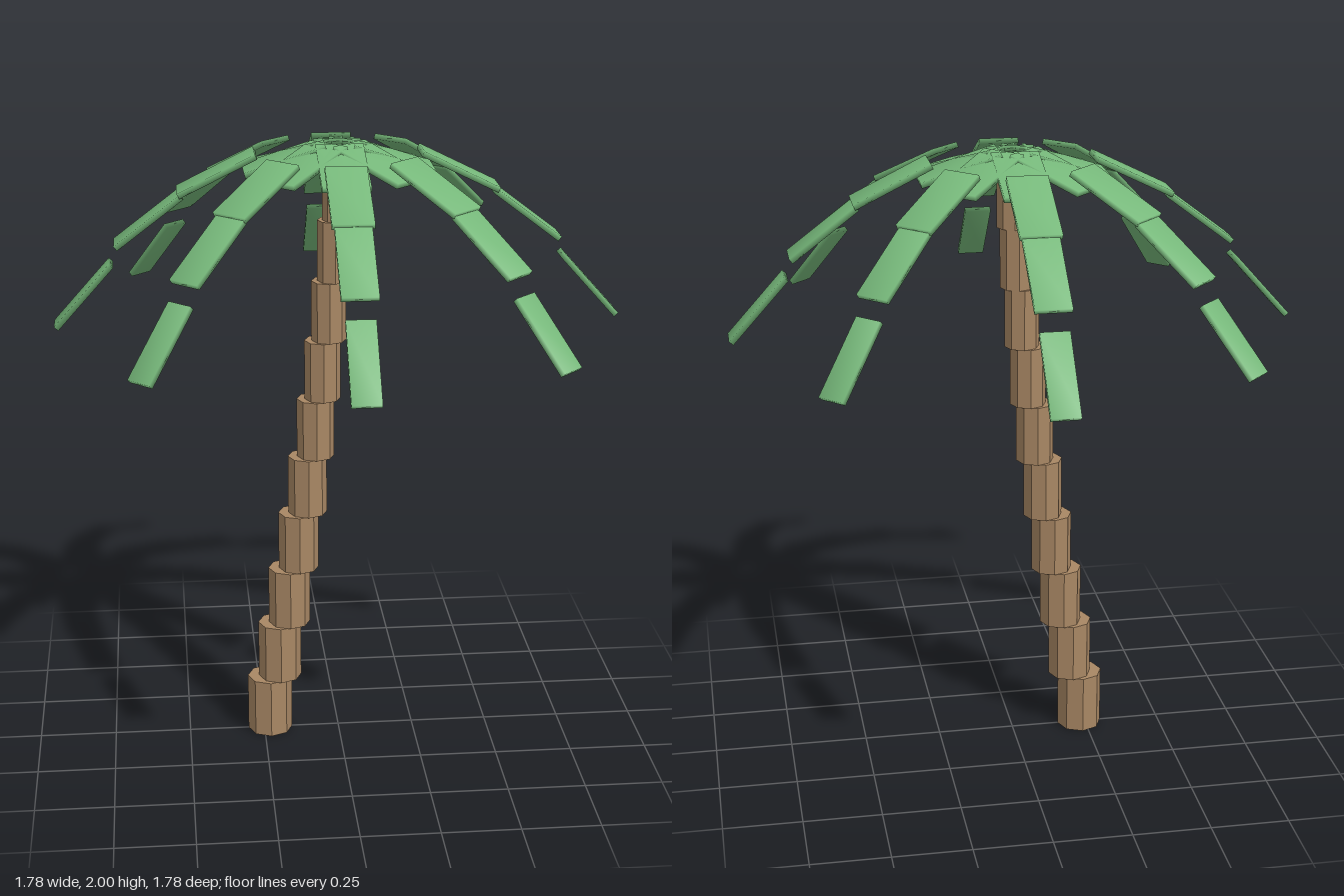
import * as THREE from 'three';
import { mergeVertices } from 'three/addons/utils/BufferGeometryUtils.js';

// Box with shared corners, giving soft shading over its edges
function softBox(w, h, d) {
  let g = new THREE.BoxGeometry(w, h, d);
  g.deleteAttribute('normal');
  g.deleteAttribute('uv');
  g = mergeVertices(g);
  g.computeVertexNormals();
  return g;
}

export function createModel() {
  const bark = new THREE.MeshStandardMaterial({ color: 0xa88764 });
  bark.name = 'bark brown';
  bark.flatShading = true;
  const leaf = new THREE.MeshStandardMaterial({ color: 0x76b87a });
  leaf.name = 'leaf green';

  const model = new THREE.Group();
  model.name = 'palmTree';

  // Leaning trunk of stacked eight-sided drums
  const trunk = new THREE.Group();
  trunk.name = 'trunk';
  const step = 0.1945;
  const offsets = [-0.23, -0.195, -0.162, -0.13, -0.1, -0.073, -0.05, -0.03, -0.013, 0];
  offsets.forEach((x, i) => {
    const r = 0.0735 - 0.0026 * i;
    const drum = new THREE.Mesh(new THREE.CylinderGeometry(r, r, step, 8), bark);
    drum.name = 'trunkSegment' + (i + 1);
    drum.position.set(x, step * (i + 0.5), 0);
    trunk.add(drum);
  });
  model.add(trunk);

  // Frond plates: inner radius, inner height, outer radius, outer height, width
  const plates = [
    [0.042, 1.988, 0.292, 1.909, 0.148],
    [0.256, 1.965, 0.496, 1.847, 0.126],
    [0.486, 1.842, 0.692, 1.686, 0.11],
    [0.708, 1.628, 0.884, 1.432, 0.088],
  ];
  const thick = 0.018;

  // Eight drooping fronds around the crown
  for (let k = 0; k < 8; k++) {
    const frond = new THREE.Group();
    frond.name = 'frond' + (k + 1);
    plates.forEach(([r0, y0, r1, y1, w], i) => {
      const len = Math.hypot(r1 - r0, y1 - y0);
      const plate = new THREE.Mesh(softBox(len, thick, w), leaf);
      plate.name = 'frondPlate' + (i + 1);
      plate.position.set((r0 + r1) / 2, (y0 + y1) / 2, 0);
      plate.rotation.z = Math.atan2(y1 - y0, r1 - r0);
      frond.add(plate);
    });
    frond.rotation.y = (k * Math.PI) / 4;
    model.add(frond);
  }
  return model;
}
